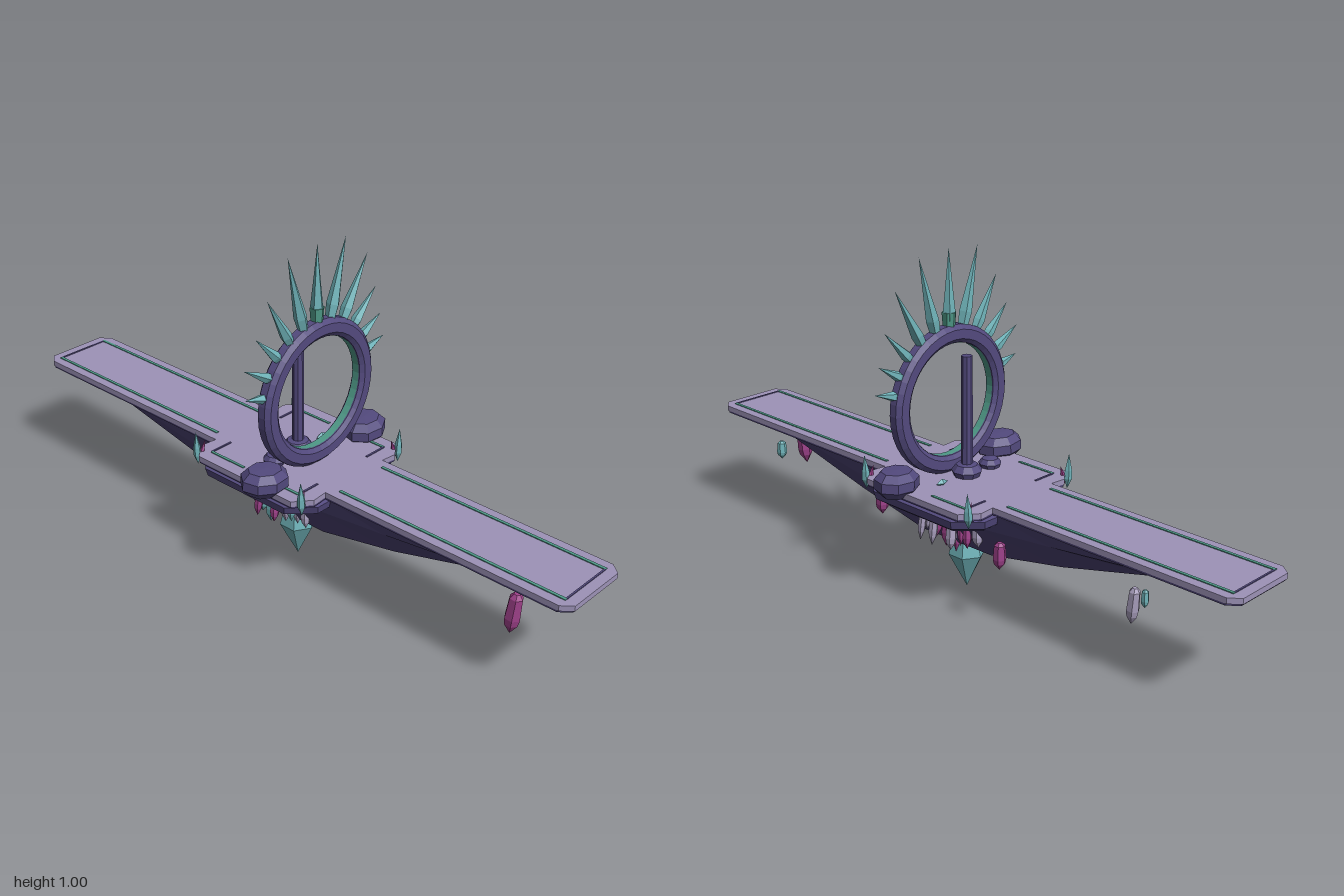
import * as THREE from 'three';

const mat = (name, color, side = THREE.FrontSide) => {
  const m = new THREE.MeshStandardMaterial({ color, flatShading: true, side });
  m.name = name;
  return m;
};

// Skin a list of equal-length point rings (counter-clockwise about the loft direction), capped.
function loft(rings) {
  const n = rings[0].length, last = (rings.length - 1) * n, index = [];
  for (let i = 0; i < rings.length - 1; i++) {
    for (let j = 0; j < n; j++) {
      const a = i * n + j, b = i * n + (j + 1) % n;
      index.push(a, b, b + n, a, b + n, a + n);
    }
  }
  for (let j = 1; j < n - 1; j++) index.push(0, j + 1, j, last, last + j, last + j + 1);
  const g = new THREE.BufferGeometry();
  g.setAttribute('position', new THREE.Float32BufferAttribute(rings.flat(2), 3));
  g.setIndex(index);
  g.computeVertexNormals();
  return g;
}

const lathe = (pts, sides) =>
  new THREE.LatheGeometry(pts.map(([x, y]) => new THREE.Vector2(x, y)), sides);

export function createModel() {
  const root = new THREE.Group();
  const deckMat = mat('deck lavender', 0x9d93b8);
  const stone = mat('violet stone', 0x534a7e);
  const hullMat = mat('dark violet hull', 0x4a4170);
  const teal = mat('teal crystal', 0x6fb2b8);
  const green = mat('green inlay', 0x4f9a88, THREE.DoubleSide);
  const magenta = mat('magenta crystal', 0x9c4088);
  const pale = mat('pale crystal', 0xa99fbe);

  const add = (name, geo, material, x = 0, y = 0, z = 0) => {
    const m = new THREE.Mesh(geo, material);
    m.name = name;
    m.position.set(x, y, z);
    root.add(m);
    return m;
  };

  // Cross-shaped deck with chamfered corners
  const quarter = [[0.12, 0.215], [0.17, 0.22], [0.22, 0.18]];
  const arm = [[0.095, 1], [0.12, 0.97], ...quarter];
  const right = [...arm, ...arm.map(([x, z]) => [x, -z]).reverse()];
  const outline = [...right, ...right.map(([x, z]) => [-x, z]).reverse()];
  const slab = (depth) => {
    const shape = new THREE.Shape(outline.map(([x, z]) => new THREE.Vector2(x, z)));
    return new THREE.ExtrudeGeometry(shape, { depth, bevelEnabled: false }).rotateX(-Math.PI / 2);
  };
  add('deck', slab(0.016), deckMat, 0, 0.334, 0);
  add('deckUnderside', slab(0.006), hullMat, 0, 0.328, 0).scale.set(0.99, 1, 0.995);

  // Inlaid lines on the deck
  const strip = (w, d, x, z, m = green) =>
    add('deckInlay', new THREE.BoxGeometry(w, 0.003, d), m, x, 0.351, z);
  for (const s of [-1, 1]) {
    strip(0.17, 0.005, 0, s * 0.968, stone);
    for (const t of [-1, 1]) {
      strip(0.009, 0.73, s * 0.088, t * 0.605);
      strip(0.008, 0.13, s * 0.178, t * 0.105);
      strip(0.075, 0.006, s * 0.14, t * 0.17, stone);
    }
  }

  // Long keel: [z, half width, knuckle height, bottom half width, bottom height]
  const keel = [
    [-0.86, 0.07, 0.33, 0.03, 0.327], [-0.7, 0.095, 0.315, 0.04, 0.285],
    [-0.4, 0.105, 0.285, 0.045, 0.21], [-0.14, 0.11, 0.26, 0.045, 0.158],
    [0.14, 0.11, 0.26, 0.045, 0.155], [0.4, 0.105, 0.285, 0.045, 0.207],
    [0.7, 0.095, 0.315, 0.04, 0.285], [0.86, 0.07, 0.33, 0.03, 0.327],
  ].map(([z, w, k, b, y]) => [
    [w, 0.332, z], [-w, 0.332, z], [-w * 0.9, k, z], [-b, y, z], [b, y, z], [w * 0.9, k, z],
  ]);
  add('keel', loft(keel), hullMat);

  // Broad bowl under the central platform
  const octagon = (y, h, c) => [
    [h, y, c], [h, y, -c], [c, y, -h], [-c, y, -h],
    [-h, y, -c], [-h, y, c], [-c, y, h], [c, y, h],
  ];
  add('platformHull', loft([
    octagon(0.245, 0.13, 0.08), octagon(0.262, 0.165, 0.11), octagon(0.296, 0.215, 0.15),
    octagon(0.32, 0.22, 0.155), octagon(0.332, 0.19, 0.14),
  ]), stone);

  // Upright ring gate
  const ringY = 0.563, ringZ = 0.07;
  const ring = lathe([
    [0.205, -0.024], [0.218, -0.012], [0.218, 0.012], [0.205, 0.024], [0.178, 0.024],
    [0.166, 0.014], [0.166, -0.014], [0.178, -0.024], [0.205, -0.024],
  ], 40).rotateX(Math.PI / 2);
  add('ringGate', ring, stone, 0, ringY, ringZ);
  add('ringLining', new THREE.CylinderGeometry(0.1645, 0.1645, 0.022, 40, 1, true).rotateX(Math.PI / 2),
    green, 0, ringY, ringZ);

  // Crown of radial spikes, given by tip position
  const tips = [
    [0, 1], [-0.113, 0.99], [0.113, 0.99], [-0.19, 0.893], [0.203, 0.915], [-0.235, 0.8],
    [0.243, 0.805], [-0.28, 0.725], [0.267, 0.715], [-0.277, 0.637], [0.283, 0.64],
  ];
  for (const [x, y] of tips) {
    const len = Math.hypot(x, y - ringY), angle = Math.atan2(x, y - ringY);
    const h = len - 0.205, r = 0.011 + h * 0.035;
    const geo = lathe([[0, 0], [r * 0.75, 0], [r, h * 0.2], [r * 0.55, h * 0.55], [0, h]], 5);
    const spike = add('crownSpike', geo, teal,
      Math.sin(angle) * 0.205, ringY + Math.cos(angle) * 0.205, ringZ);
    spike.rotation.z = -angle;
  }
  add('keystone', new THREE.CylinderGeometry(0.021, 0.018, 0.04, 6), green, 0, 0.797, ringZ);

  // Boulders bracing the ring
  const boulder = lathe([[0, -1], [0.65, -1], [1, -0.35], [1, 0.4], [0.7, 0.95], [0, 1]], 8);
  for (const s of [-1, 1]) {
    const b = add('boulder', boulder, stone, s * 0.208, 0.368, ringZ);
    b.scale.set(0.071, 0.037, 0.06);
    b.rotation.set(0, 0.2 * s, 0.04 * s);
  }

  // Central pillar with its mound, and a smaller mound beside it
  add('pillar', new THREE.CylinderGeometry(0.016, 0.017, 0.36, 8), stone, 0, 0.526, 0);
  for (const [x, r, h] of [[0, 0.045, 0.04], [-0.095, 0.034, 0.03]]) {
    add('mound', lathe([[r * 0.85, 0], [r, h * 0.4], [r * 0.7, h * 0.85], [0, h]], 9), stone, x, 0.35, 0);
  }

  // Hexagonal crystal with its point down, placed by the lower tip
  const gem = lathe([[0, 0], [0.85, 0.24], [1, 0.4], [0.85, 0.9], [0.4, 1], [0, 1]], 6);
  const crystal = (name, m, x, y, z, h, r, rx = 0, rz = 0) => {
    const c = add(name, gem, m, x, y, z);
    c.scale.set(r, h, r);
    c.rotation.set(rx, 0, rz);
    return c;
  };

  // Corner shards standing on the platform
  for (const sx of [-1, 1]) {
    for (const sz of [-1, 1]) {
      const shard = lathe([[0, -0.03], [0.012, 0], [0.011, 0.025], [0, 0.075]], 5);
      add('cornerShard', shard, teal, sx * 0.203, 0.338, sz * 0.204).rotation.z = -0.05 * sx;
      const small = add('smallShard', shard, magenta, sx * 0.196, 0.338, sz * 0.195);
      small.scale.setScalar(0.6);
      small.rotation.z = 0.35 * sx;
    }
  }
  const deckShard = add('deckShard', new THREE.OctahedronGeometry(1), teal, 0.1, 0.355, 0);
  deckShard.scale.set(0.022, 0.012, 0.01);

  // Great crystal below the keel
  add('keelCrystal', lathe([[0, 0], [0.055, 0.108], [0.045, 0.15], [0, 0.2]], 6), teal);

  // Cluster of hanging crystals around it
  let seed = 7;
  const rand = () => (seed = (seed * 16807) % 2147483647) / 2147483647;
  const tones = [magenta, pale, teal, magenta, pale];
  for (let i = 0; i < 32; i++) {
    const a = i * 2.4, rad = 0.045 + 0.1 * Math.sqrt(i / 32);
    const bottom = 0.105 + rad * 0.42 + rand() * 0.035;
    const h = 0.075 + rand() * 0.04;
    crystal('hangingCrystal', tones[i % 5], Math.cos(a) * rad, bottom, Math.sin(a) * rad,
      h, 0.01 + rand() * 0.008, -Math.sin(a) * 0.12, Math.cos(a) * 0.12);
  }

  // Crystals drifting under the arms
  crystal('driftCrystal', magenta, -0.062, 0.15, 0.8, 0.123, 0.023, 0.08, -0.06);
  crystal('driftCrystal', teal, 0.078, 0.215, 0.75, 0.06, 0.016);
  crystal('driftCrystal', magenta, 0.11, 0.19, 0.24, 0.085, 0.02);
  crystal('driftCrystal', magenta, 0.15, 0.195, -0.27, 0.08, 0.019);
  crystal('driftCrystal', pale, 0.1, 0.165, -0.68, 0.105, 0.018, -0.08);
  crystal('driftCrystal', teal, 0.1, 0.225, -0.72, 0.05, 0.011);

  return root;
}
